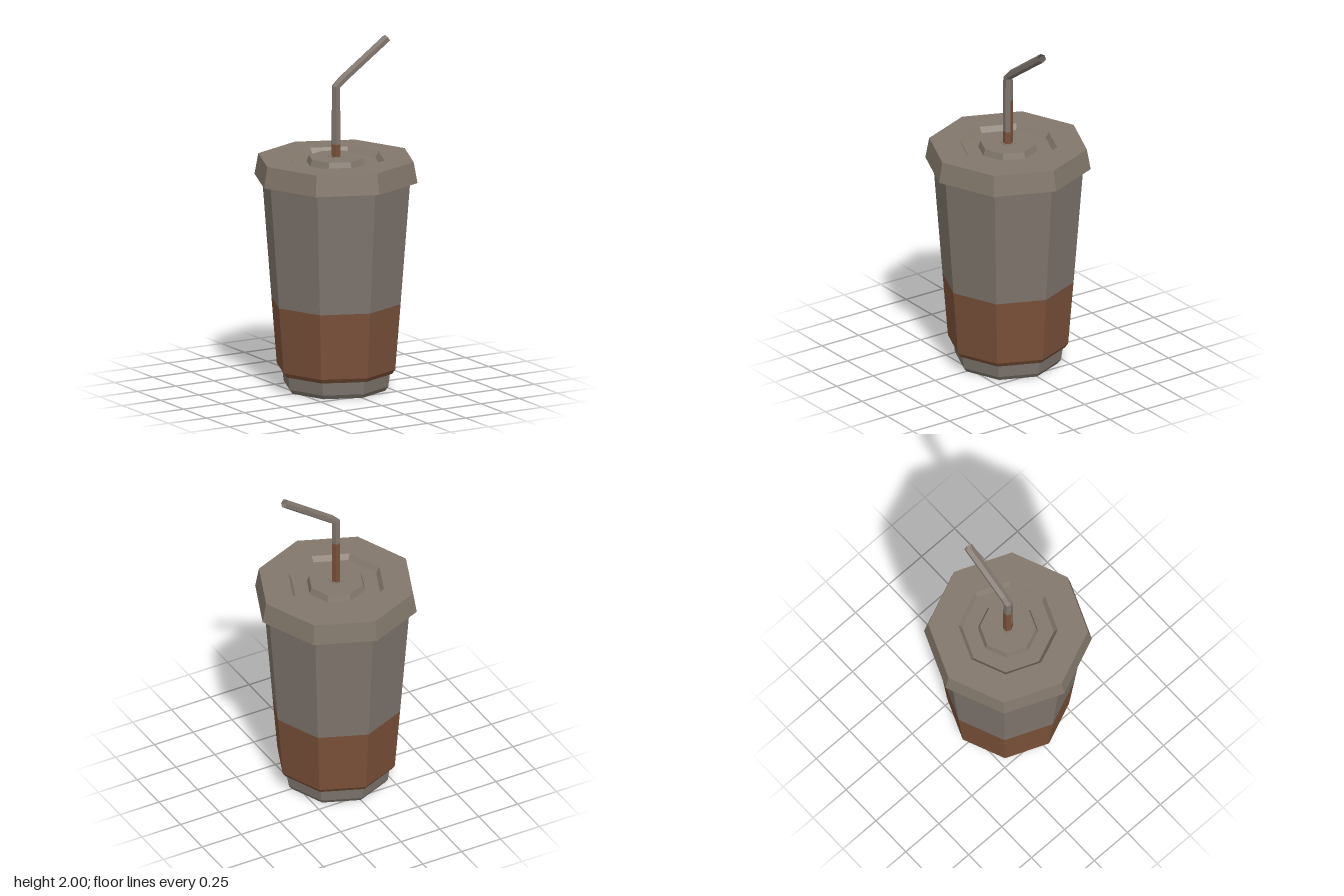
import * as THREE from 'three';

const material = (name, color, side = THREE.FrontSide) => {
  const m = new THREE.MeshStandardMaterial({ color, side });
  m.name = name;
  return m;
};

// Facet a geometry so that every face has its own normal
function facet(geometry) {
  const g = geometry.index ? geometry.toNonIndexed() : geometry;
  g.computeVertexNormals();
  return g;
}

// Eight-sided turned part from [radius, height] pairs, bottom to top
function turned(name, profile, mat) {
  const points = profile.map(([r, y]) => new THREE.Vector2(r, y));
  const mesh = new THREE.Mesh(facet(new THREE.LatheGeometry(points, 8)), mat);
  mesh.name = name;
  return mesh;
}

// Six-sided bent tube; the lower part is stained, higher up on the back
function strawGeometry() {
  const sides = 6;
  // x, y, lean of the ring from upright, radius
  const rings = [
    [0, 1.3, 0, 0.026], [0, 1.41, 0, 0.026], [0, 1.6, 0, 0.026],
    [0, 1.74, 0.2, 0.025], [0.04, 1.775, 0.75, 0.025], [0.333, 1.98, 0.97, 0.025],
  ];
  const corner = (i, j) => {
    const [x, y, lean, r] = rings[i];
    const a = (j / sides) * Math.PI * 2;
    const n = r * Math.cos(a);
    return [x - n * Math.cos(lean), y + n * Math.sin(lean), r * 1.1 * Math.sin(a)];
  };
  const positions = [];
  const g = new THREE.BufferGeometry();
  for (let i = 0; i < rings.length - 1; i++) {
    for (let j = 0; j < sides; j++) {
      const a = corner(i, j), b = corner(i, j + 1);
      const c = corner(i + 1, j + 1), d = corner(i + 1, j);
      const stained = i === 0 || (i === 1 && j >= sides / 2);
      g.addGroup(positions.length / 3, 6, stained ? 1 : 0);
      positions.push(...a, ...b, ...c, ...a, ...c, ...d);
    }
  }
  g.setAttribute('position', new THREE.Float32BufferAttribute(positions, 3));
  return facet(g);
}

export function createModel() {
  const cupGrey = material('cup grey', 0x7f756d);
  const lidGrey = material('lid grey', 0x82776b);
  const drinkBrown = material('drink brown', 0x7a5139);
  const strawGrey = material('straw grey', 0x7f756d, THREE.DoubleSide);
  const strawBrown = material('straw brown', 0x7a5139, THREE.DoubleSide);

  const model = new THREE.Group();
  model.name = 'drinkCup';

  // Cup: closed foot, filled lower wall, clear upper wall
  model.add(
    turned('cupFoot', [[0, 0], [0.285, 0], [0.303, 0.025], [0.313, 0.105]], cupGrey),
    turned('drinkBand', [[0.313, 0.1], [0.325, 0.1], [0.343, 0.125], [0.374, 0.505]], drinkBrown),
    turned('cupWall', [[0.374, 0.505], [0.43, 1.22]], cupGrey),
  );

  // Lid: flared rim, sunken ring and raised centre
  model.add(turned('lid', [
    [0.42, 1.21], [0.472, 1.21], [0.45, 1.33], [0.28, 1.33],
    [0.258, 1.3], [0.17, 1.3], [0.157, 1.336], [0, 1.336],
  ], lidGrey));

  // Square collar where the straw enters
  const collar = new THREE.Mesh(new THREE.BoxGeometry(0.064, 0.006, 0.064), lidGrey);
  collar.position.y = 1.336;
  collar.name = 'strawCollar';
  model.add(collar);

  const straw = new THREE.Mesh(strawGeometry(), [strawGrey, strawBrown]);
  straw.name = 'straw';
  model.add(straw);
  return model;
}
